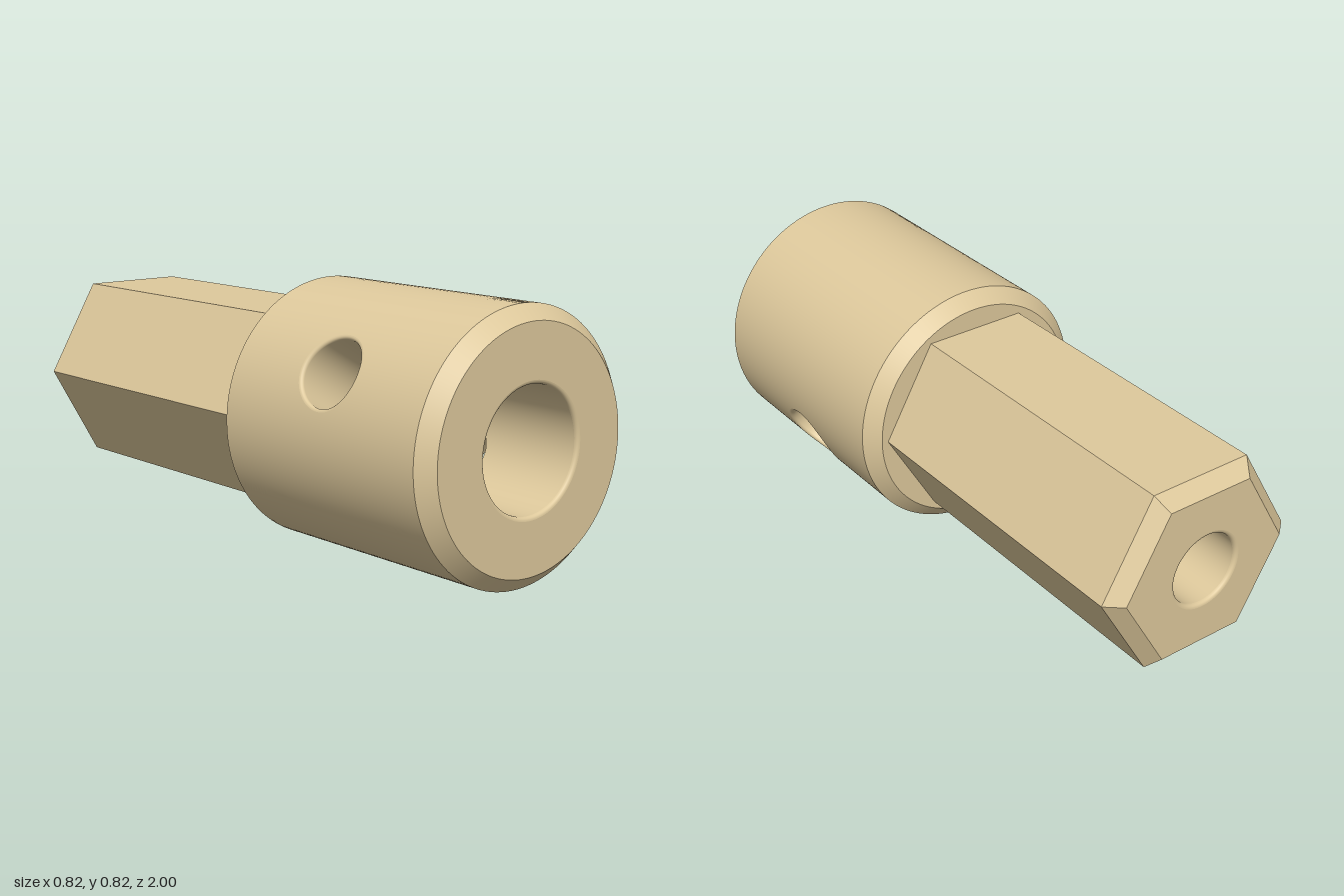
import * as THREE from 'three';

const R = 0.41, BORE = 0.188, PILOT = 0.115, CH = 0.045, F = 0.012; // radii, chamfer, edge rounding
const BACK = 0.095, FRONT = 1, FLOOR = 0.2, TAIL = -1;              // stations along z
const CROSS = 0.108, CROSS_Z = 0.55, TILT = -Math.PI / 6;           // tilted cross hole
const HEX = 0.343, SEG = 120, N = 240;

// Grid surface from closed rows of points
function loft(rows, flip = false) {
  const n = rows[0].length, index = [];
  for (let i = 0; i < rows.length - 1; i++) {
    for (let j = 0; j < n; j++) {
      const k = (j + 1) % n;
      const a = i * n + j, b = (i + 1) * n + j, c = (i + 1) * n + k, d = i * n + k;
      if (flip) index.push(a, c, b, a, d, c);
      else index.push(a, b, c, a, c, d);
    }
  }
  const g = new THREE.BufferGeometry().setFromPoints(rows.flat());
  g.setIndex(index);
  g.computeVertexNormals();
  return g;
}

const loop = (fn) => Array.from({ length: N }, (_, j) => fn(j, -Math.PI / 4 + (2 * Math.PI * j) / N));

// Half of a cylinder wall, pierced by the cross hole at angle a0
function piercedWall(r, hole, z0, z1, a0, inward) {
  const rows = [], rings = 24;
  for (let i = 0; i <= rings; i++) {
    const s = i / rings;
    rows.push(loop((j, t) => {
      const side = Math.floor((4 * j) / N), f = (8 * j) / N - 2 * side - 1;
      const [sx, sy] = [[1, f], [-f, 1], [-1, -f], [f, -1]][side];
      const th = THREE.MathUtils.lerp(Math.asin((hole * Math.cos(t)) / r), (sx * Math.PI) / 2, s);
      const z = THREE.MathUtils.lerp(CROSS_Z + hole * Math.sin(t), (z0 + z1) / 2 + (sy * (z1 - z0)) / 2, s);
      return new THREE.Vector3(r * Math.cos(a0 + th), r * Math.sin(a0 + th), z);
    }));
  }
  const g = loft(rows, inward);
  // true radial normals keep the wall smooth across the seam
  const p = g.attributes.position, nrm = g.attributes.normal, k = (inward ? -1 : 1) / r;
  for (let i = 0; i < p.count; i++) nrm.setXYZ(i, p.getX(i) * k, p.getY(i) * k, 0);
  return g;
}

// Cross hole wall from the bore out to a rounded rim
function crossHole(a0) {
  const ring = (hole, r) => loop((j, t) => {
    const th = a0 + Math.asin((hole * Math.cos(t)) / r);
    return new THREE.Vector3(r * Math.cos(th), r * Math.sin(th), CROSS_Z + hole * Math.sin(t));
  });
  const rows = [];
  for (let i = 0; i < 8; i++) rows.push(ring(CROSS, THREE.MathUtils.lerp(BORE, R - F, i / 8)));
  for (let i = 0; i <= 5; i++) {
    const a = (i / 5) * Math.PI / 2;
    rows.push(ring(CROSS + F * (1 - Math.cos(a)), R - F * (1 - Math.sin(a))));
  }
  return loft(rows);
}

// Turned surface about z from [radius, z] pairs
const turned = (...pts) =>
  new THREE.LatheGeometry(pts.map(([r, z]) => new THREE.Vector2(r, z)), SEG).rotateX(Math.PI / 2);

const quarter = (fn) => Array.from({ length: 6 }, (_, i) => fn((i / 5) * Math.PI / 2));

// Six-sided sleeve about z, corners on the x axis
function hexSleeve(rFront, rBack, z0, z1) {
  return new THREE.CylinderGeometry(rFront, rBack, z1 - z0, 6, 1, true, Math.PI / 2)
    .rotateX(Math.PI / 2).translate(0, 0, (z0 + z1) / 2);
}

export function createModel() {
  const model = new THREE.Group();
  model.name = 'hexShankSocket';
  const smooth = new THREE.MeshStandardMaterial({ color: 0xdec99c, side: THREE.DoubleSide });
  const flat = smooth.clone();
  flat.flatShading = true;

  const part = (name) => {
    const g = new THREE.Group();
    g.name = name;
    g.position.y = R;
    model.add(g);
    return (meshName, geometry, material = smooth) => {
      const m = new THREE.Mesh(geometry, material);
      m.name = meshName;
      g.add(m);
    };
  };

  // Round body with chamfered ends
  const body = part('socketBody');
  body('backFace', turned([BORE, BACK], [R - CH, BACK]));
  body('backChamfer', turned([R - CH, BACK], [R, BACK + CH]));
  body('frontChamfer', turned([R, FRONT - CH], [R - CH, FRONT]));
  body('frontFace', turned([R - CH, FRONT], [BORE + F, FRONT]));
  body('boreRim', turned(...quarter((a) => [BORE + F - F * Math.sin(a), FRONT - F + F * Math.cos(a)])));
  body('boreFloor', turned([BORE, FLOOR], [PILOT, FLOOR]));

  // Outer wall, bore wall and cross hole, one half per side
  for (const [side, a0] of [['left', TILT], ['right', TILT + Math.PI]]) {
    body(side + 'OuterWall', piercedWall(R, CROSS + F, BACK + CH, FRONT - CH, a0, false));
    body(side + 'BoreWall', piercedWall(BORE, CROSS, FLOOR, FRONT - F, a0, true));
    body(side + 'CrossHole', crossHole(a0));
  }

  // Hexagonal shank with a through hole
  const shank = part('hexShank');
  const hexEnd = HEX - CH / Math.cos(Math.PI / 6);
  shank('shankSides', hexSleeve(HEX, HEX, TAIL + CH, BACK), flat);
  shank('shankChamfer', hexSleeve(HEX, hexEnd, TAIL, TAIL + CH), flat);

  const face = new THREE.Shape(Array.from({ length: 6 }, (_, i) =>
    new THREE.Vector2(hexEnd * Math.cos((i * Math.PI) / 3), hexEnd * Math.sin((i * Math.PI) / 3))));
  face.holes.push(new THREE.Path().absarc(0, 0, PILOT + F, 0, Math.PI * 2, true));
  shank('shankEnd', new THREE.ShapeGeometry(face, SEG / 2).rotateY(Math.PI).translate(0, 0, TAIL), flat);

  shank('pilotHole', turned([PILOT, FLOOR], [PILOT, TAIL + F]));
  shank('pilotRim', turned(...quarter((a) => [PILOT + F - F * Math.cos(a), TAIL + F - F * Math.sin(a)])));

  return model;
}
